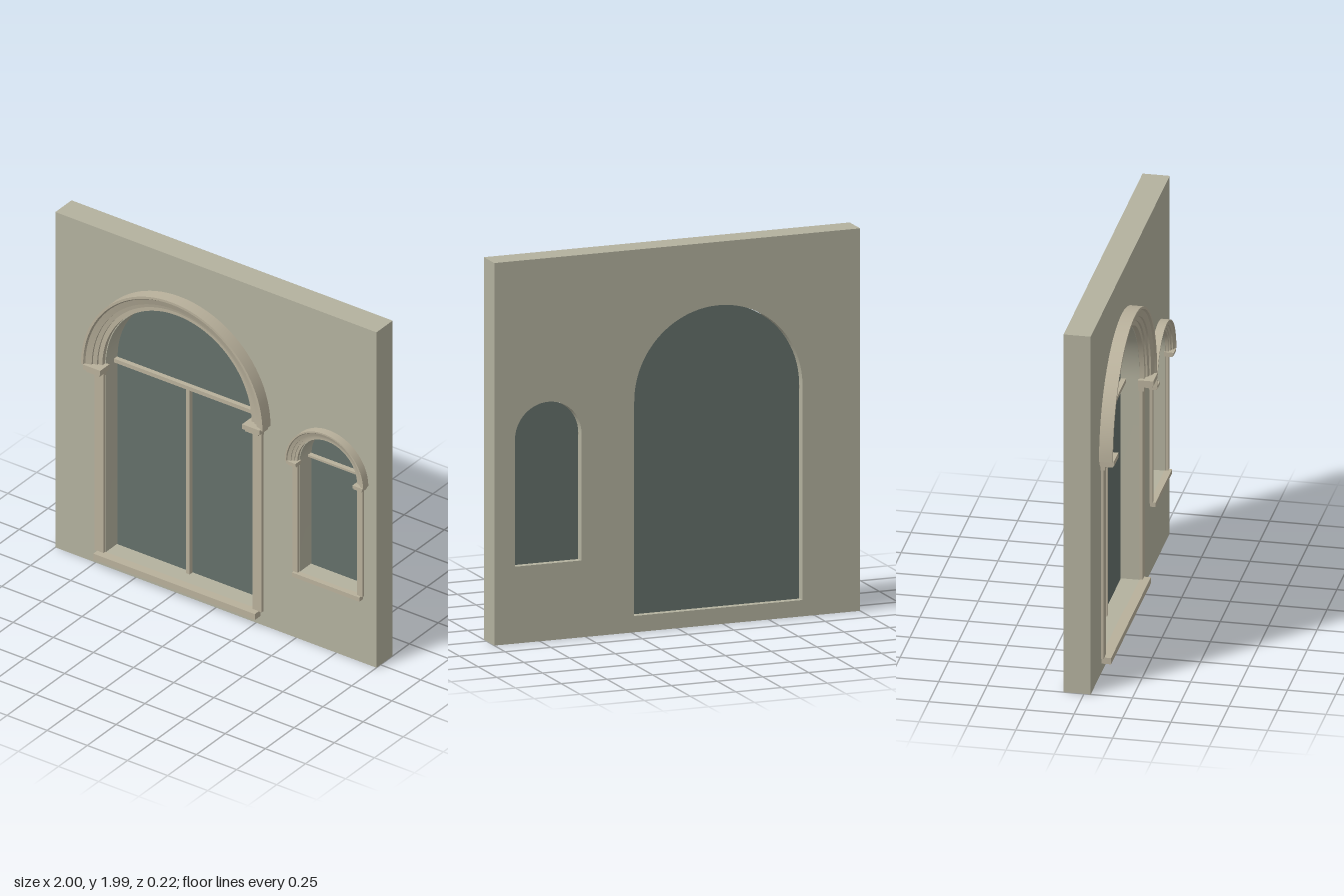
import * as THREE from 'three';
import { toCreasedNormals } from 'three/addons/utils/BufferGeometryUtils.js';

const material = (name, color) => {
  const m = new THREE.MeshStandardMaterial({ color });
  m.name = name;
  return m;
};

const WALL_BACK = -0.105, WALL_FRONT = 0.035, GLASS_Z = -0.065;

const windows = [
  {
    name: 'largeWindow', x: -0.225, r: 0.46, bottom: 0.085, spring: 1.2,
    jamb: [0.464, 0.52], sill: [0.503, 0.035, 0.085], bar: 0.022, mullion: true,
    // archivolt profile: radius, z
    profile: [[0.565, 0.03], [0.565, 0.105], [0.552, 0.105], [0.545, 0.095], [0.513, 0.085],
      [0.513, 0.075], [0.49, 0.07], [0.49, 0.06], [0.465, 0.06], [0.465, 0.03]],
    // capital layers: inner, outer, bottom, top (from springing), front z
    capital: [[0.442, 0.55, -0.025, 0.003, 0.11], [0.452, 0.535, -0.04, -0.025, 0.1], [0.46, 0.525, -0.065, -0.04, 0.058]]
  },
  {
    name: 'smallWindow', x: 0.705, r: 0.182, bottom: 0.4, spring: 1.06,
    jamb: [0.185, 0.218], sill: [0.21, 0.024, 0.065], bar: 0.012, mullion: false,
    profile: [[0.244, 0.03], [0.244, 0.08], [0.236, 0.08], [0.232, 0.074], [0.215, 0.068],
      [0.215, 0.062], [0.2, 0.058], [0.2, 0.052], [0.186, 0.052], [0.186, 0.03]],
    capital: [[0.177, 0.237, -0.014, 0.002, 0.08], [0.18, 0.23, -0.024, -0.014, 0.073]]
  }
];

// Round-headed opening outline
function archPath(PathClass, w, r) {
  const p = new PathClass();
  p.moveTo(w.x - r, w.bottom);
  p.lineTo(w.x + r, w.bottom);
  p.lineTo(w.x + r, w.spring);
  p.absarc(w.x, w.spring, r, 0, Math.PI, false);
  p.closePath();
  return p;
}

function add(parent, name, geometry, mat) {
  const mesh = new THREE.Mesh(geometry, mat);
  mesh.name = name;
  parent.add(mesh);
  return mesh;
}

// Box given by its limits on each axis
function addBox(parent, name, x0, x1, y0, y1, z0, z1, mat) {
  const g = new THREE.BoxGeometry(Math.abs(x1 - x0), y1 - y0, z1 - z0);
  g.translate((x0 + x1) / 2, (y0 + y1) / 2, (z0 + z1) / 2);
  return add(parent, name, g, mat);
}

export function createModel() {
  const stone = material('wall stone', 0xb3b19e);
  const trim = material('trim stone', 0xb8b09b);
  const pane = material('window glass', 0x64706a);
  const model = new THREE.Group();
  model.name = 'facade';

  // Wall slab pierced by both openings
  const slab = new THREE.Shape([[-1, 0], [1, 0], [1, 1.99], [-1, 1.99]].map(p => new THREE.Vector2(...p)));
  for (const w of windows) slab.holes.push(archPath(THREE.Path, w, w.r));
  const wall = new THREE.ExtrudeGeometry(slab, { depth: WALL_FRONT - WALL_BACK, bevelEnabled: false, curveSegments: 40 });
  wall.translate(0, 0, WALL_BACK);
  add(model, 'wall', toCreasedNormals(wall, 0.5), stone);

  for (const w of windows) {
    const g = new THREE.Group();
    g.name = w.name;
    model.add(g);

    // Glass, slightly smaller than the opening
    const glass = new THREE.ExtrudeGeometry(archPath(THREE.Shape, w, w.r - 0.004),
      { depth: 0.008, bevelEnabled: false, curveSegments: 40 });
    glass.translate(0, 0, GLASS_Z - 0.004);
    add(g, 'glass', glass, pane);

    // Glazing bars
    const front = GLASS_Z + 0.03;
    addBox(g, 'transom', w.x - w.r, w.x + w.r, w.spring - w.bar * 1.1, w.spring - w.bar * 0.1, GLASS_Z + 0.002, front, trim);
    if (w.mullion) {
      addBox(g, 'mullion', w.x - w.bar / 2, w.x + w.bar / 2, w.bottom, w.spring - w.bar, GLASS_Z + 0.002, front, trim);
    }

    // Moulded arch: profile swept through a half turn, with closed feet
    const points = w.profile.map(p => new THREE.Vector2(...p));
    const arch = new THREE.LatheGeometry([...points, points[0]], 48, Math.PI / 2, Math.PI);
    arch.rotateX(Math.PI / 2);
    const archMesh = add(g, 'archMoulding', toCreasedNormals(arch, 0.3), trim);
    archMesh.position.set(w.x, w.spring, 0);

    for (const side of [-1, 1]) {
      const foot = new THREE.ShapeGeometry(new THREE.Shape(points.map(p => new THREE.Vector2(side * p.x, p.y))));
      foot.rotateX(Math.PI / 2);
      add(g, 'archFoot', foot, trim).position.set(w.x, w.spring, 0);

      // Jamb and stepped capital
      addBox(g, 'jamb', w.x + side * w.jamb[0], w.x + side * w.jamb[1], w.bottom - 0.002, w.spring, 0.03, 0.05, trim);
      for (const [inner, outer, y0, y1, z] of w.capital) {
        addBox(g, 'capital', w.x + side * inner, w.x + side * outer, w.spring + y0, w.spring + y1, 0.03, z, trim);
      }
    }

    // Projecting sill
    const [half, height, z] = w.sill;
    addBox(g, 'sill', w.x - half, w.x + half, w.bottom - height, w.bottom, 0.03, z, trim);
  }
  return model;
}
